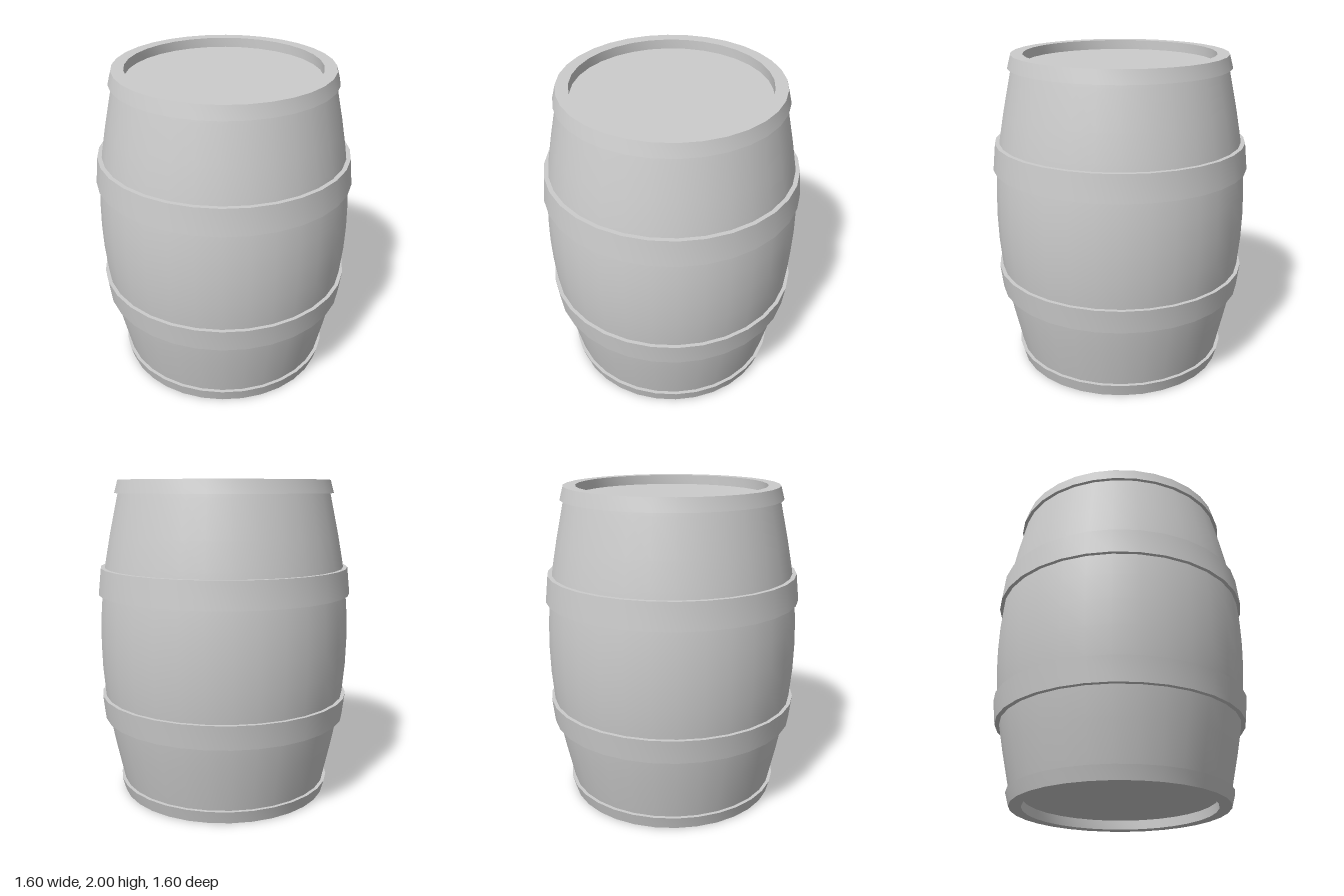
import * as THREE from 'three';
import { toCreasedNormals } from 'three/addons/utils/BufferGeometryUtils.js';

const SIDES = 32;
const material = new THREE.MeshStandardMaterial({ color: 0xcccccc });

// Turned part from [radius, height] pairs, listed upward along its outside
function turned(name, profile) {
  const points = profile.map(([r, y]) => new THREE.Vector2(r, y));
  const geometry = toCreasedNormals(new THREE.LatheGeometry(points, SIDES), 0.6);
  const mesh = new THREE.Mesh(geometry, material);
  mesh.name = name;
  return mesh;
}

// Round lid set back inside the rim; up = 1 faces upward, -1 downward
function head(name, y, up) {
  const mesh = new THREE.Mesh(new THREE.CircleGeometry(0.59, SIDES), material);
  mesh.name = name;
  mesh.position.y = y;
  mesh.rotation.x = -up * Math.PI / 2;
  return mesh;
}

export function createModel() {
  const barrel = new THREE.Group();
  barrel.name = 'barrel';

  // Bulging staves, with a rim and recess wall at both ends
  const half = [[0.59, 0.06], [0.59, 0], [0.645, 0], [0.67, 0.1], [0.72, 0.33],
    [0.752, 0.5], [0.775, 0.66], [0.79, 0.84]];
  const upper = half.map(([r, y]) => [r, 2 - y]).reverse();
  barrel.add(turned('staves', [...half, [0.794, 1], ...upper]));

  // Recessed heads
  barrel.add(head('topHead', 1.94, 1), head('bottomHead', 0.06, -1));

  // Hoops: bottom height and radius, top height and radius, hidden inner radii
  const hoops = [
    ['bottomHoop', 0, 0.665, 0.08, 0.687, 0.645, 0.655],
    ['lowerHoop', 0.5, 0.78, 0.65, 0.797, 0.74, 0.76],
    ['upperHoop', 1.3, 0.802, 1.465, 0.784, 0.77, 0.75],
    ['topHoop', 1.92, 0.687, 2, 0.665, 0.655, 0.645],
  ];
  for (const [name, y0, r0, y1, r1, in0, in1] of hoops) {
    barrel.add(turned(name, [[in0, y0], [r0, y0], [r1, y1], [in1, y1]]));
  }
  return barrel;
}
